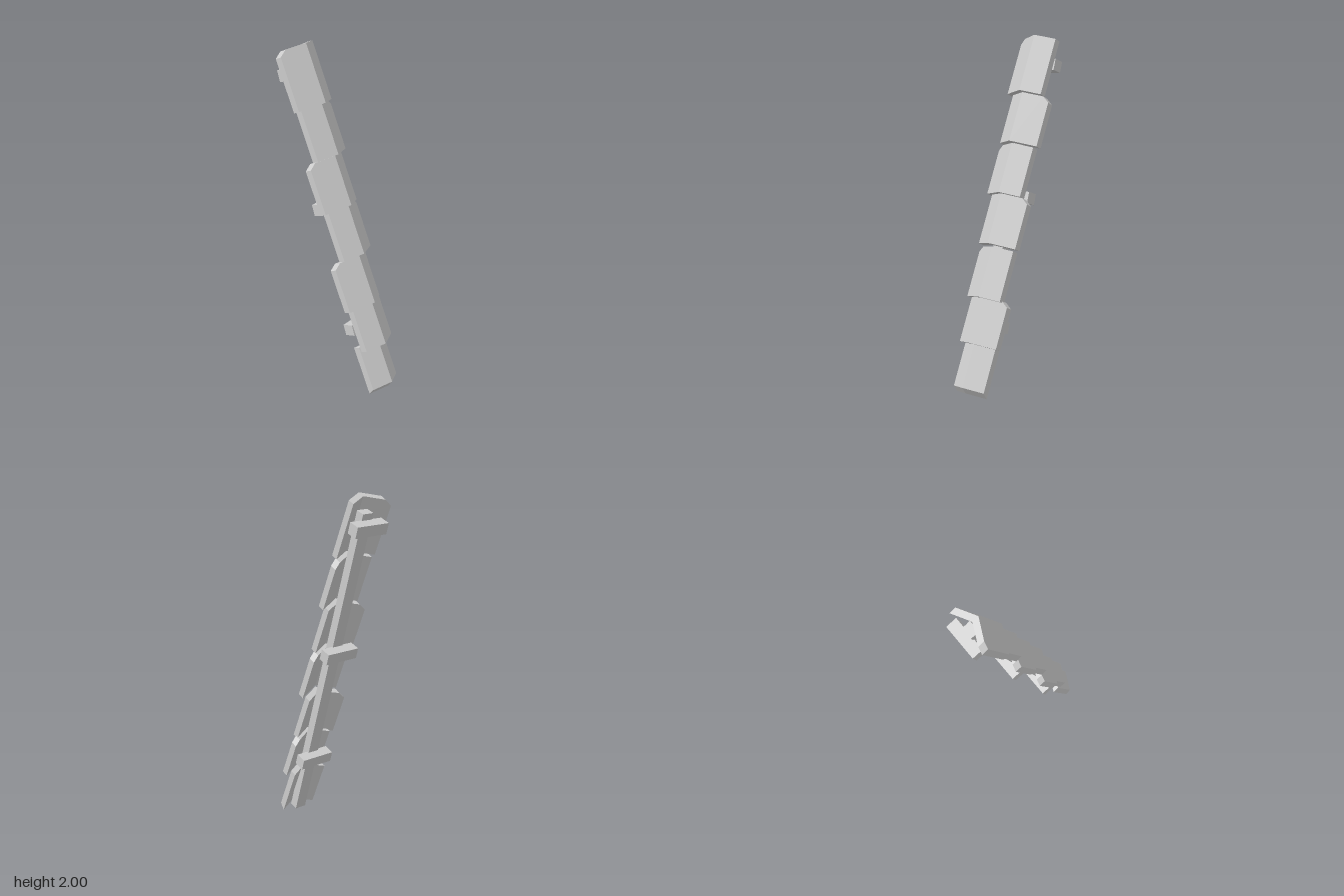
import * as THREE from 'three';

const SLOPE = 0.31;     // lean of the rafter
const PITCH = 0.4146;   // lean of each overlapping tile
const THICK = 0.04;
const FALL = 0.52;      // drop of a tile wing per unit of width
const material = new THREE.MeshStandardMaterial({ color: 0xcccccc, flatShading: true });

// One wing of a ridge tile: a flat plate sheared away from the ridge line.
function wingGeometry(side, width, height, clipped, cut) {
  const w = -side * width;
  const top = clipped
    ? [[w, height - 0.03], [w + side * 0.033, height]]
    : [[w, height]];
  const outline = [[0, 0], [w, 0], ...top, [0, height]];
  const shape = new THREE.Shape(outline.map(([a, b]) => new THREE.Vector2(a, b)));
  const geo = new THREE.ExtrudeGeometry(shape, { depth: THICK, bevelEnabled: false });
  geo.rotateY(Math.PI / 2).translate(-THICK, 0, 0);
  const p = geo.attributes.position;
  for (let i = 0; i < p.count; i++) {
    // slant the lower end of the last tile
    if (p.getY(i) < 0.001 && p.getX(i) < -THICK / 2) p.setY(i, -cut);
    p.setX(i, p.getX(i) - FALL * Math.abs(p.getZ(i)));
  }
  geo.computeVertexNormals();
  return geo;
}

function mesh(name, geometry, parent) {
  const m = new THREE.Mesh(geometry, material);
  m.name = name;
  parent.add(m);
  return m;
}

export function createModel() {
  const model = new THREE.Group();
  model.name = 'ridgeTileStrip';

  // Ridge tiles, top to bottom: lower ridge point x, y and rise
  const tiles = [
    [-0.121, 1.69, 0.308],
    [-0.031, 1.41, 0.267],
    [0.062, 1.128, 0.267],
    [0.157, 0.852, 0.267],
    [0.238, 0.56, 0.267],
    [0.323, 0.315, 0.245],
    [0.376, 0.068, 0.25],
  ];
  tiles.forEach(([x, y, rise], i) => {
    const tile = new THREE.Group();
    tile.name = 'ridgeTile' + (i + 1);
    const last = i === tiles.length - 1;
    const wideSide = last ? 0 : i % 2 ? -1 : 1; // the wide wing alternates
    for (const side of [1, -1]) {
      const wide = side === wideSide;
      mesh(side > 0 ? 'frontWing' : 'backWing',
        wingGeometry(side, wide ? 0.142 : 0.111, rise / Math.cos(PITCH), wide, last ? 0.025 : 0), tile);
    }
    tile.position.set(x, y, 0);
    tile.rotation.z = PITCH;
    model.add(tile);
  });

  // Long rafter under the tiles
  const length = 1.99;
  const rafter = mesh('rafter', new THREE.BoxGeometry(0.052, length, 0.07).translate(0, length / 2, 0), model);
  rafter.position.set(0.298, 0.009, 0);
  rafter.rotation.z = SLOPE;

  // Cross battens behind the rafter
  [[-0.338, 1.822], [-0.1, 1.082], [0.132, 0.377]].forEach(([x, y], i) => {
    const batten = mesh('crossBatten' + (i + 1), new THREE.BoxGeometry(0.065, 0.065, 0.21), model);
    batten.position.set(x, y, -0.002);
    batten.rotation.z = SLOPE;
  });

  return model;
}
